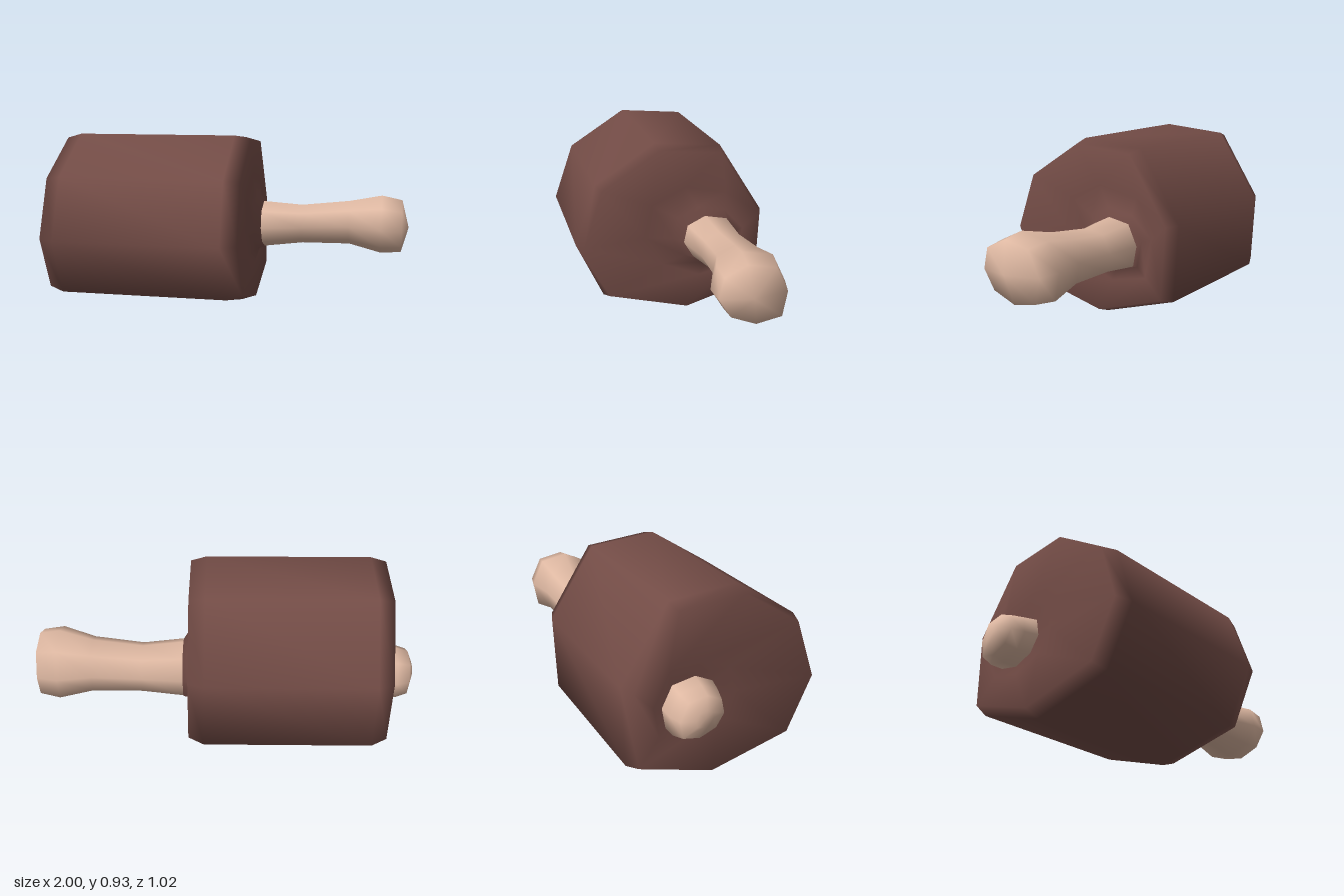
import * as THREE from 'three';

// Eight-sided cross-sections as [z, y], relative to their centres
const MEAT = [[0.51, -0.06], [0.4, 0.26], [0.08, 0.465], [-0.275, 0.435],
  [-0.51, 0.065], [-0.49, -0.34], [-0.08, -0.465], [0.37, -0.355]];
const BONE = [[1, -0.05], [0.86, 0.65], [0.2, 1], [-0.64, 0.83],
  [-1, 0], [-0.86, -0.83], [-0.1, -1], [0.64, -0.68]];

// One ring of points; lean shifts x with height
function ring(profile, x, cy, cz, sy, sz, lean = 0) {
  return profile.map(([z, y]) => [x + lean * y, cy + y * sy, cz + z * sz]);
}

// Smooth skin over rings running from -x to +x, closed by a point at each end
function loft(rings, startTip, endTip) {
  const n = rings[0].length;
  const points = [...rings.flat(), startTip, endTip];
  const start = points.length - 2, end = points.length - 1;
  const last = (rings.length - 1) * n;
  const index = [];
  for (let j = 0; j < n; j++) {
    const k = (j + 1) % n;
    for (let i = 0; i < rings.length - 1; i++) {
      const a = i * n + j, b = i * n + k;
      index.push(a, a + n, b, b, a + n, b + n);
    }
    index.push(start, j, k, end, last + k, last + j);
  }
  const geometry = new THREE.BufferGeometry();
  geometry.setAttribute('position', new THREE.Float32BufferAttribute(points.flat(), 3));
  geometry.setIndex(index);
  geometry.computeVertexNormals();
  return geometry;
}

export function createModel() {
  const meatBrown = new THREE.MeshStandardMaterial({ color: 0x734c46 });
  meatBrown.name = 'meatBrown';
  const boneTan = new THREE.MeshStandardMaterial({ color: 0xdeb8a2 });
  boneTan.name = 'boneTan';

  // Meat: bevelled drum with a shallow hollow at the left end and a collar at the right
  const meat = new THREE.Mesh(loft([
    ring(BONE, -0.84, 0.42, -0.19, 0.13, 0.145),
    ring(BONE, -0.85, 0.43, -0.17, 0.19, 0.21),
    ring(MEAT, -0.86, 0.468, 0, 0.945, 0.94, 0.015),
    ring(MEAT, -0.78, 0.465, 0, 1, 1, 0.015),
    ring(MEAT, 0.09, 0.465, 0, 1, 1, -0.015),
    ring(MEAT, 0.172, 0.468, 0, 0.945, 0.94, -0.012),
    ring(BONE, 0.155, 0.45, -0.12, 0.25, 0.27),
    ring(BONE, 0.172, 0.435, -0.17, 0.16, 0.17),
    ring(BONE, 0.205, 0.42, -0.19, 0.135, 0.145),
  ], [-0.84, 0.42, -0.19], [0.205, 0.42, -0.19]), meatBrown);
  meat.name = 'meat';

  // Bone: one shaft through the meat with a knob at each end
  const bone = new THREE.Mesh(loft([
    ring(BONE, -1, 0.41, -0.2, 0.04, 0.045),
    ring(BONE, -0.975, 0.408, -0.2, 0.103, 0.112),
    ring(BONE, -0.91, 0.41, -0.2, 0.122, 0.132),
    ring(BONE, -0.8, 0.42, -0.19, 0.13, 0.145),
    ring(BONE, 0.2, 0.42, -0.19, 0.132, 0.142),
    ring(BONE, 0.42, 0.425, -0.2, 0.11, 0.122),
    ring(BONE, 0.68, 0.442, -0.195, 0.123, 0.136),
    ring(BONE, 0.855, 0.44, -0.175, 0.163, 0.18),
    ring(BONE, 0.962, 0.435, -0.165, 0.147, 0.163),
  ], [-1, 0.41, -0.2], [1, 0.43, -0.155]), boneTan);
  bone.name = 'bone';

  const group = new THREE.Group();
  group.name = 'meatOnBone';
  group.add(meat, bone);
  return group;
}
